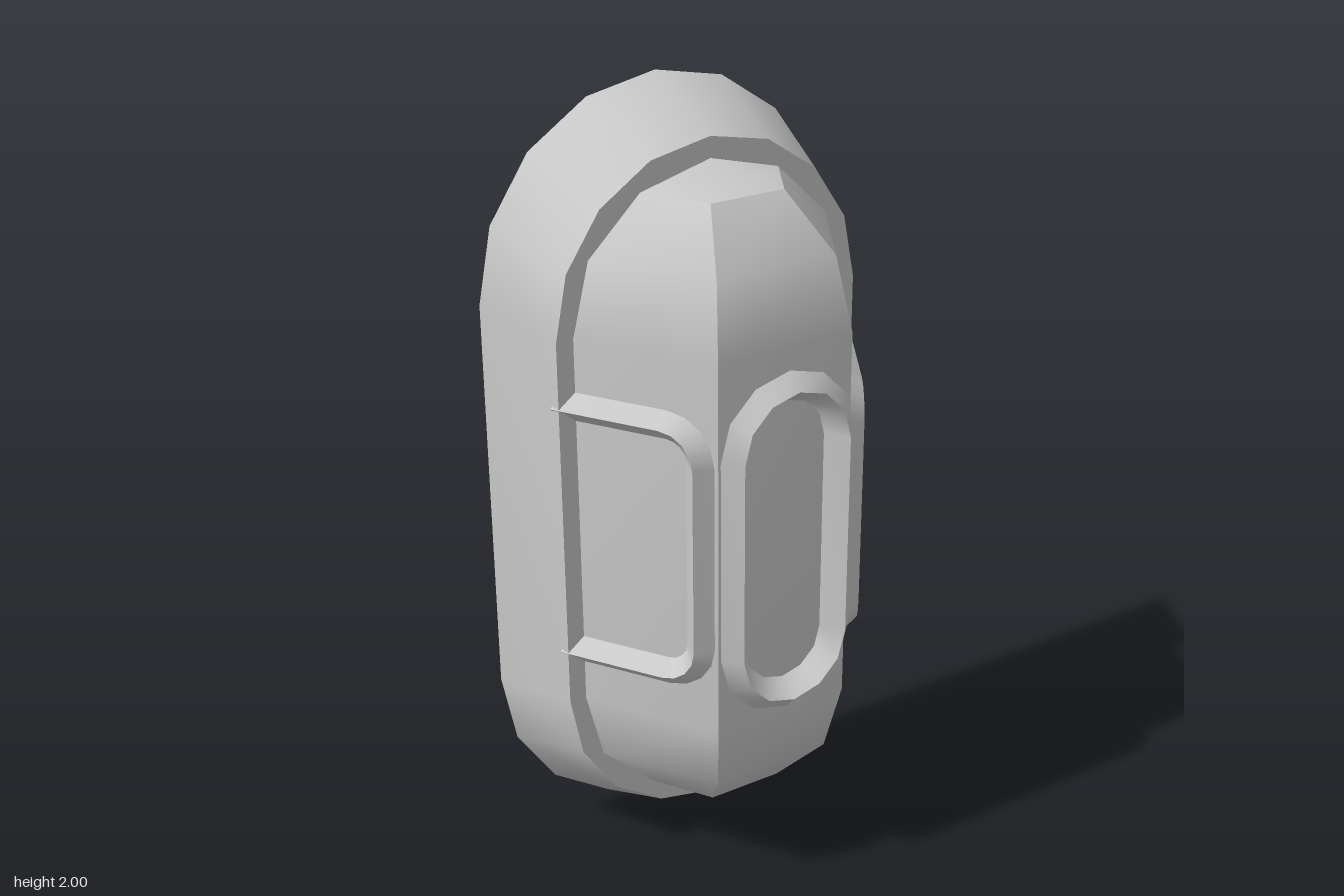
import * as THREE from 'three';

const grey = new THREE.MeshStandardMaterial({ color: 0xcacaca });
grey.name = 'lightGrey';

// Grid of points (rows of equal length) with normals smoothed inside the grid
function grid(rows, closed = false) {
  const n = rows[0].length, index = [];
  for (let r = 0; r + 1 < rows.length; r++) {
    for (let i = 0; i < (closed ? n : n - 1); i++) {
      const j = (i + 1) % n;
      const a = r * n + i, b = r * n + j, c = b + n, d = a + n;
      index.push(a, b, c, a, c, d);
    }
  }
  const g = new THREE.BufferGeometry();
  g.setAttribute('position', new THREE.Float32BufferAttribute(rows.flat(2), 3));
  g.setIndex(index);
  g.computeVertexNormals();
  return g;
}

// Polygon as a fan around its first point
function fan(points) {
  const g = new THREE.BufferGeometry(), index = [];
  for (let i = 1; i + 1 < points.length; i++) index.push(0, i, i + 1);
  g.setAttribute('position', new THREE.Float32BufferAttribute(points.flat(), 3));
  g.setIndex(index);
  g.computeVertexNormals();
  return g;
}

// Upright stadium outline, counter-clockwise from the front
function stadium(radius, half, z, segs, cy = 1) {
  const pts = [];
  for (const end of [0, 1]) {
    for (let i = 0; i <= segs; i++) {
      const t = Math.PI * (end + i / segs);
      pts.push([radius * Math.cos(t), cy + (end ? -half : half) + radius * Math.sin(t), z]);
    }
  }
  return pts;
}

function add(group, name, geometry) {
  const mesh = new THREE.Mesh(geometry, grey);
  mesh.name = name;
  group.add(mesh);
}

export function createModel() {
  const model = new THREE.Group();
  model.name = 'lampHousing';
  const baseZ = -0.065;

  // Flared flange, hollow at the back
  const rim = stadium(0.49, 0.51, -0.305, 8);
  const lip = stadium(0.42, 0.477, baseZ, 8);
  const floor = stadium(0.405, 0.47, -0.075, 8);
  add(model, 'flangeWall', grid([rim, lip], true));
  add(model, 'flangeStep', grid([lip, stadium(0.34, 0.46, baseZ, 8)], true));
  add(model, 'flangeInside', grid([floor, rim], true));
  add(model, 'backPlate', fan([...floor].reverse()));

  // Faceted body: height from centre, front half width, front z, base half width
  const upper = [
    [0.48, 0.185, 0.25, 0.375],
    [0.66, 0.162, 0.21, 0.33],
    [0.795, 0.1, 0.09, 0.19],
  ];
  const levels = [...upper.map(([y, ...rest]) => [-y, ...rest]).reverse(), ...upper];
  add(model, 'bodyFront', grid(levels.map(([y, w, z]) => [[-w, 1 + y, z], [w, 1 + y, z]])));
  add(model, 'bodyLeftSide', grid(levels.map(([y, w, z, x]) => [[w, 1 + y, z], [x, 1 + y, baseZ]])));
  add(model, 'bodyRightSide', grid(levels.map(([y, w, z, x]) => [[-x, 1 + y, baseZ], [-w, 1 + y, z]])));
  // End caps; turning the outline half a turn about z gives the lower one
  for (const s of [1, -1]) {
    const cap = [[0, 0.845, baseZ], [-0.19, 0.795, baseZ], [-0.1, 0.795, 0.09],
      [0.1, 0.795, 0.09], [0.19, 0.795, baseZ]].map(([x, y, z]) => [s * x, 1 + s * y, z]);
    add(model, s > 0 ? 'bodyTop' : 'bodyBottom', fan(cap));
  }

  // Bevelled window frame
  const frame = new THREE.Group();
  frame.name = 'windowFrame';
  const bands = [[0.17, 0.25], [0.188, 0.265], [0.148, 0.305], [0.11, 0.25]]
    .map(([r, z]) => stadium(r, 0.258, z, 6, 0.986));
  for (let i = 0; i < 3; i++) add(frame, 'frameBevel', grid([bands[i], bands[i + 1]], true));
  model.add(frame);

  // U-shaped trim of diamond section lying on each sloping side
  const path = [[0.412, 0.325]];
  for (const end of [1, -1]) {
    for (let i = 0; i <= 4; i++) {
      const a = (Math.PI / 2) * (end > 0 ? i / 4 : 1 - i / 4);
      path.push([0.133 - 0.087 * Math.sin(a), end * (0.238 + 0.087 * Math.cos(a))]);
    }
  }
  path.push([0.412, -0.325]);
  for (const side of [1, -1]) {
    // Point on the slope: u runs back, v up, n outward
    const place = (u, v, n) => [
      side * (0.185 + 0.516 * u + 0.857 * n), 0.987 + v, 0.25 - 0.857 * u + 0.516 * n];
    // Trim line shifted sideways by d along the path normal
    const line = (d, n) => path.map(([u, v], i) => {
      const p = path[Math.max(i - 1, 0)], q = path[Math.min(i + 1, path.length - 1)];
      const du = q[0] - p[0], dv = q[1] - p[1], len = Math.hypot(du, dv);
      return place(u + (d * dv) / len, v - (d * du) / len, n);
    });
    const edges = [line(0.036, 0), line(0, 0.04), line(-0.036, 0), line(0, -0.03)];
    const trim = new THREE.Group();
    trim.name = side > 0 ? 'leftTrim' : 'rightTrim';
    edges.forEach((a, i) => {
      const b = edges[(i + 1) % 4];
      add(trim, 'trimBevel', grid(side > 0 ? [a, b] : [b, a]));
    });
    for (const i of [0, path.length - 1]) {
      const end = edges.map((e) => e[i]);
      add(trim, 'trimEnd', fan((i === 0) === (side > 0) ? end : end.reverse()));
    }
    model.add(trim);
  }
  return model;
}
